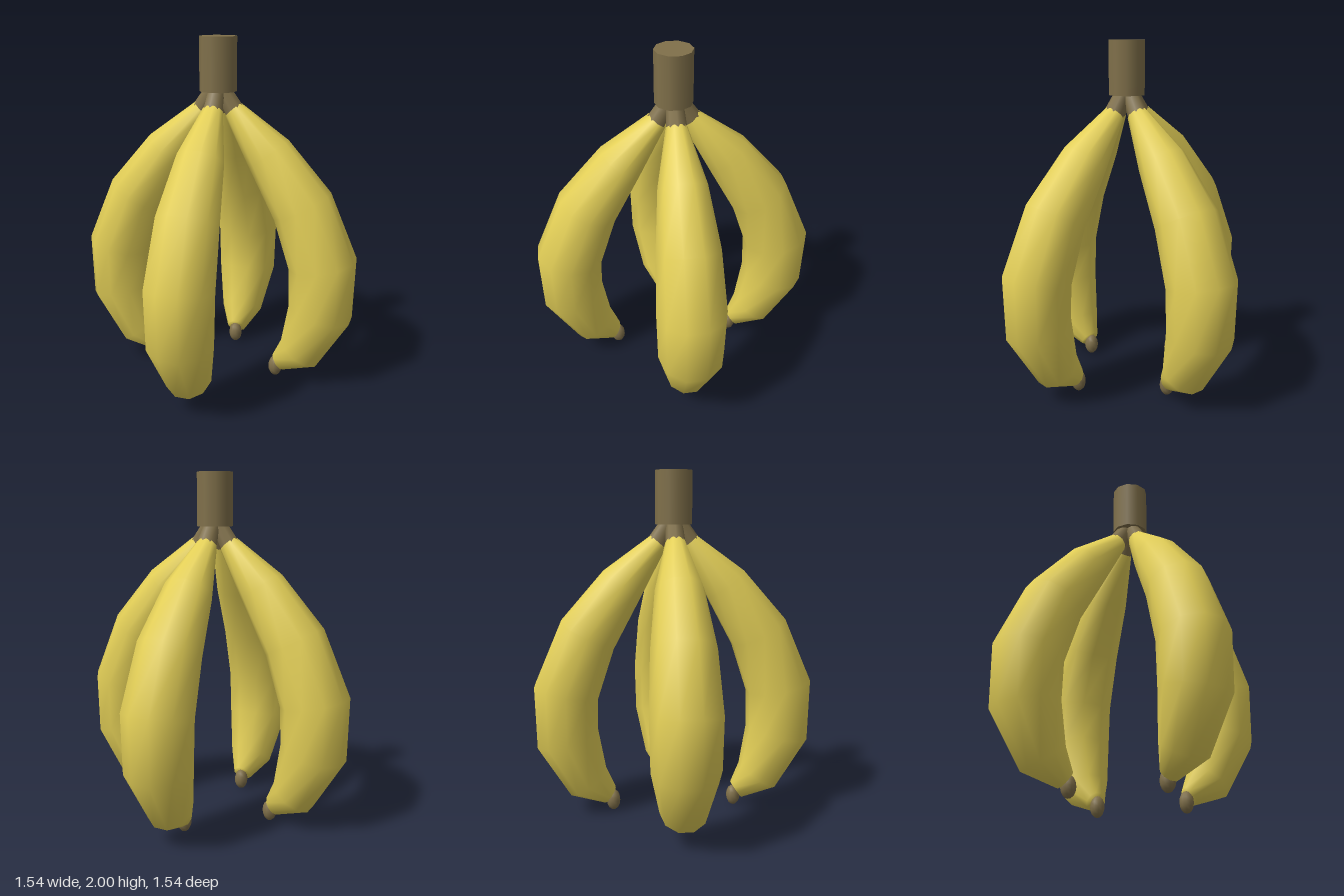
import * as THREE from 'three';

const yellow = new THREE.MeshStandardMaterial({ color: 0xe3cf57 });
yellow.name = 'banana yellow';
const brown = new THREE.MeshStandardMaterial({ color: 0x80704a });
brown.name = 'stem brown';

const SIDES = 10;

// Fruit centreline: distance from the axis, height, section radius
const RINGS = [
  [0.09, 1.6, 0.058],
  [0.3, 1.36, 0.135],
  [0.5, 1.075, 0.177],
  [0.627, 0.745, 0.195],
  [0.625, 0.455, 0.188],
  [0.51, 0.185, 0.132],
  [0.383, 0.095, 0.058],
];

// Bent tube in the z-y plane, one ten-sided section per ring, closed at both ends
function bentTube(rings) {
  const pos = [];
  const index = [];
  const last = rings.length - 1;
  rings.forEach(([z, y, r], i) => {
    const p = rings[Math.max(i - 1, 0)];
    const n = rings[Math.min(i + 1, last)];
    const len = Math.hypot(n[0] - p[0], n[1] - p[1]);
    const nz = (p[1] - n[1]) / len; // section normal, pointing away from the axis
    const ny = (n[0] - p[0]) / len;
    for (let j = 0; j < SIDES; j++) {
      const a = ((j + 0.5) / SIDES) * Math.PI * 2;
      const c = Math.cos(a) * r;
      pos.push(Math.sin(a) * r, y + ny * c, z + nz * c);
    }
  });
  for (let i = 0; i < last; i++) {
    for (let j = 0; j < SIDES; j++) {
      const k = (j + 1) % SIDES;
      const a = i * SIDES + j, b = i * SIDES + k;
      index.push(a, a + SIDES, b, b, a + SIDES, b + SIDES);
    }
  }
  const top = pos.length / 3;
  pos.push(0, rings[0][1], rings[0][0], 0, rings[last][1], rings[last][0]);
  for (let j = 0; j < SIDES; j++) {
    const k = (j + 1) % SIDES;
    index.push(top, j, k, top + 1, last * SIDES + k, last * SIDES + j);
  }
  const geo = new THREE.BufferGeometry();
  geo.setAttribute('position', new THREE.Float32BufferAttribute(pos, 3));
  geo.setIndex(index);
  geo.computeVertexNormals();
  return geo;
}

function part(name, geometry, material) {
  const mesh = new THREE.Mesh(geometry, material);
  mesh.name = name;
  return mesh;
}

export function createModel() {
  const model = new THREE.Group();
  model.name = 'bananaBunch';

  // Shared main stem
  const stem = part('stem', new THREE.CylinderGeometry(0.105, 0.105, 0.3, SIDES), brown);
  stem.position.y = 1.85;
  model.add(stem);

  const fruitGeo = bentTube(RINGS);
  const neckGeo = new THREE.CylinderGeometry(0.045, 0.058, 0.17, 8);
  const tipGeo = new THREE.SphereGeometry(1, 10, 8);

  // Four fruits hanging around the stem
  for (let i = 0; i < 4; i++) {
    const banana = new THREE.Group();
    banana.name = `banana${i + 1}`;
    banana.rotation.y = Math.PI / 8 + (i * Math.PI) / 2;

    banana.add(part('fruit', fruitGeo, yellow));

    // Neck leaning from the stem out to the fruit
    const neck = part('neck', neckGeo, brown);
    neck.position.set(0, 1.66, 0.057);
    neck.rotation.x = -0.55;
    banana.add(neck);

    // Dark blossom end
    const tip = part('tip', tipGeo, brown);
    tip.scale.set(0.042, 0.062, 0.042);
    tip.position.set(0, 0.063, 0.365);
    banana.add(tip);

    model.add(banana);
  }
  return model;
}
